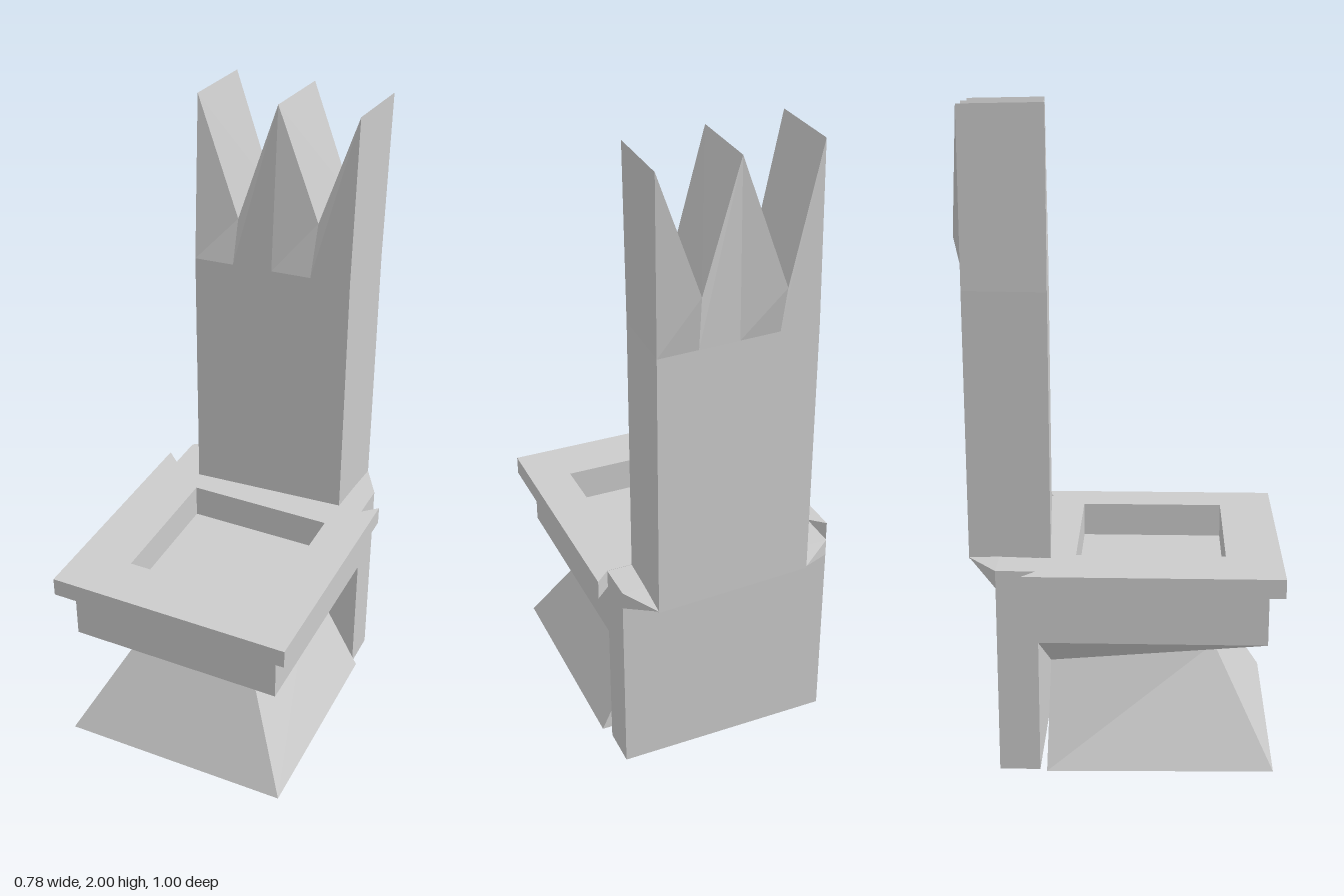
import * as THREE from 'three';
import { ConvexGeometry } from 'three/addons/geometries/ConvexGeometry.js';

const mat = new THREE.MeshStandardMaterial({ color: 0xcccccc, flatShading: true });

function mesh(name, geometry) {
  const m = new THREE.Mesh(geometry, mat);
  m.name = name;
  return m;
}

function box(name, x0, x1, y0, y1, z0, z1) {
  const m = mesh(name, new THREE.BoxGeometry(x1 - x0, y1 - y0, z1 - z0));
  m.position.set((x0 + x1) / 2, (y0 + y1) / 2, (z0 + z1) / 2);
  return m;
}

// Joins rings of points (front left to right, then back right to left), capped at both ends
function loft(rings) {
  const pos = [];
  const quad = (a, b, c, d) => pos.push(...a, ...b, ...c, ...a, ...c, ...d);
  const n = rings[0].length;
  for (let r = 0; r < rings.length - 1; r++) {
    const a = rings[r], b = rings[r + 1];
    for (let i = 0; i < n; i++) {
      const j = (i + 1) % n;
      quad(a[i], a[j], b[j], b[i]);
    }
  }
  const low = rings[0], top = rings[rings.length - 1];
  for (let i = 0; i < n / 2 - 1; i++) {
    quad(top[i], top[i + 1], top[n - 2 - i], top[n - 1 - i]);
    quad(low[n - 1 - i], low[n - 2 - i], low[i + 1], low[i]);
  }
  const g = new THREE.BufferGeometry();
  g.setAttribute('position', new THREE.Float32BufferAttribute(pos, 3));
  g.computeVertexNormals();
  return g;
}

// Flat slab with the square seat opening, from an outline of [x, z] points
function ringSlab(name, outline, y0, y1) {
  const toShape = (pts) => pts.map(([x, z]) => new THREE.Vector2(x, -z));
  const shape = new THREE.Shape(toShape(outline));
  shape.holes.push(new THREE.Path(toShape([[-0.21, 0.33], [-0.21, -0.125], [0.257, -0.125], [0.257, 0.33]])));
  const g = new THREE.ExtrudeGeometry(shape, { depth: y1 - y0, bevelEnabled: false });
  g.rotateX(-Math.PI / 2);
  g.translate(0, y0, 0);
  return mesh(name, g);
}

// Tall slanted back with a zigzag crown of three peaks
function backrest() {
  const front = [[-0.22, 2.0, -0.2], [-0.11, 1.61, -0.242], [0.025, 1.995, -0.222], [0.145, 1.635, -0.26], [0.27, 1.99, -0.24]];
  const back = [[-0.212, 1.995, -0.45], [-0.1, 1.61, -0.485], [0.035, 1.99, -0.47], [0.157, 1.635, -0.498], [0.28, 1.985, -0.485]];
  const level = (y) => {
    const f = [], b = [];
    for (let i = 0; i < 5; i++) {
      const t = i / 4;
      f.push([-0.237 + 0.5 * t, y, -0.2 - 0.035 * t]);
      b.push([-0.222 + 0.497 * t, y, -0.45 - 0.025 * t]);
    }
    return [...f, ...b.reverse()];
  };
  return mesh('backrest', loft([level(0.645), level(1.47), [...front, ...back.reverse()]]));
}

export function createModel() {
  const group = new THREE.Group();
  const W = 0.342;

  // Flared foot narrowing to a neck, then opening out to the bowl
  group.add(mesh('pedestal', loft([
    [[-0.37, 0.02, 0.48], [0.37, 0.022, 0.48], [0.365, 0.015, -0.21], [-0.37, 0.01, -0.21]],
    [[-0.19, 0.36, 0.3], [0.19, 0.36, 0.3], [0.19, 0.355, -0.19], [-0.275, 0.338, -0.2]],
    [[-W, 0.425, 0.455], [W, 0.425, 0.455], [W, 0.425, -0.233], [-W, 0.425, -0.233]],
  ])));

  // Bowl with a recessed floor
  group.add(box('bowlBase', -W, W, 0.425, 0.547, -0.233, 0.455));
  group.add(ringSlab('bowlRim', [[-W, 0.455], [W, 0.455], [W, -0.233], [-W, -0.233]], 0.547, 0.596));

  // Seat plate with two small ears hugging the rear column
  group.add(ringSlab('seat', [
    [-0.388, 0.5], [0.388, 0.5], [0.388, -0.278], [W, -0.235], [-W, -0.235], [-0.388, -0.278],
  ], 0.596, 0.656));

  // Rear column and the sloped support under the backrest
  group.add(box('rearColumn', -W, W, 0, 0.6, -0.357, -0.233));
  const support = [[-0.222, 0.65, -0.45], [0.275, 0.65, -0.475]];
  for (const x of [-W, W]) {
    support.push([x, 0.6, -0.233], [x, 0.6, -0.357], [x, 0.655, -0.233], [x, 0.655, -0.357]);
  }
  group.add(mesh('backSupport', new ConvexGeometry(support.map((p) => new THREE.Vector3(...p)))));

  group.add(backrest());
  return group;
}
